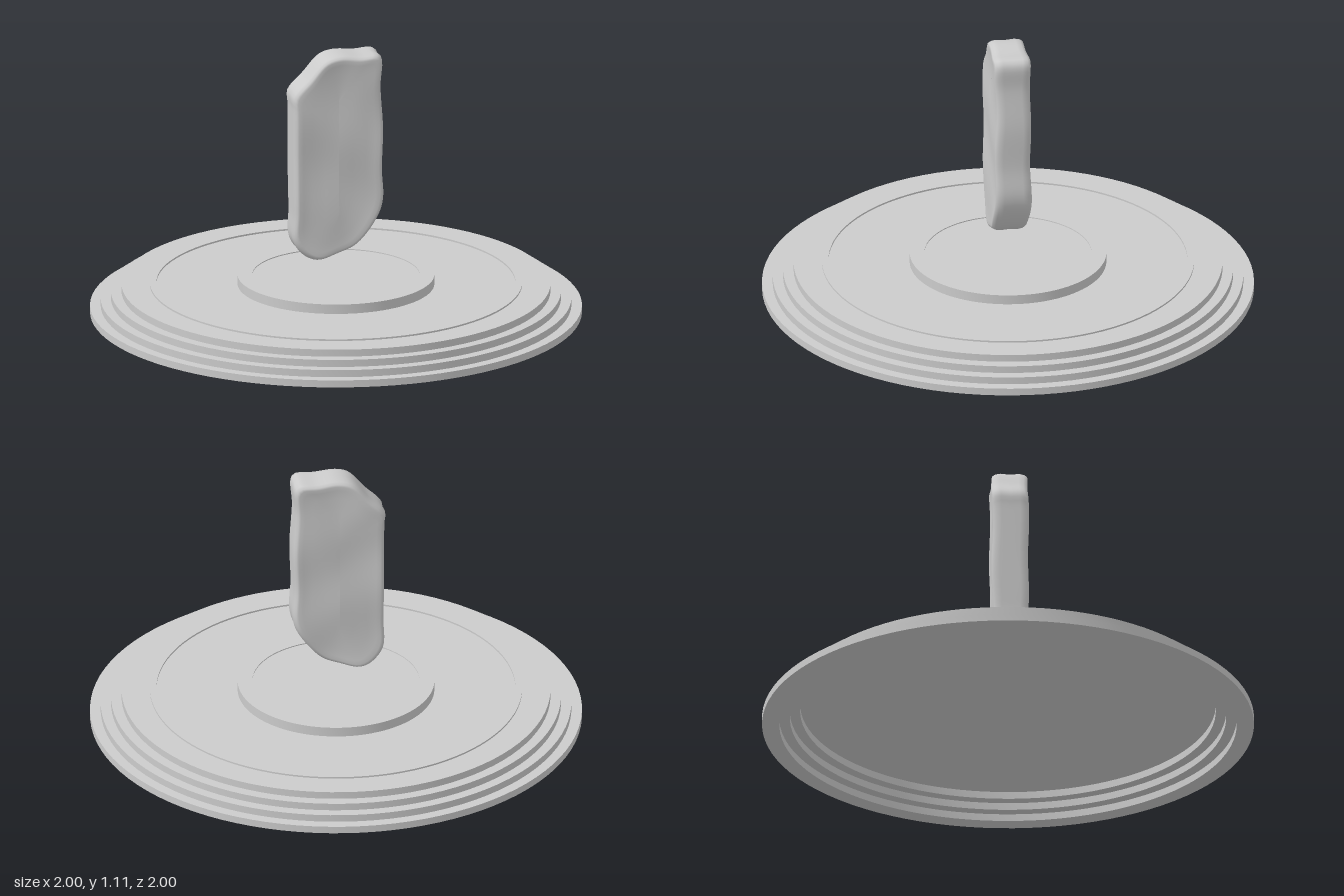
import * as THREE from 'three';
import { toCreasedNormals } from 'three/addons/utils/BufferGeometryUtils.js';

const material = new THREE.MeshStandardMaterial({ color: 0xcccccc });

// Turned ring (or disc when rIn is 0) with sharp edges
function ring(name, rIn, rOut, y0, y1) {
  const profile = [[rIn, y0], [rOut, y0], [rOut, y1], [rIn, y1]];
  if (rIn > 0) profile.push([rIn, y0]);
  const points = profile.map(([r, y]) => new THREE.Vector2(r, y));
  const mesh = new THREE.Mesh(toCreasedNormals(new THREE.LatheGeometry(points, 96), 0.6), material);
  mesh.name = name;
  return mesh;
}

// Worn slab: a rounded outline swept through insets from the front face to the back
function stoneGeometry() {
  const outline = new THREE.CatmullRomCurve3([
    [-0.195, 0.95], [-0.13, 1.02], [-0.06, 1.095], [0, 1.112], [0.09, 1.105], [0.165, 1.105],
    [0.18, 1.085], [0.175, 0.98], [0.186, 0.8], [0.18, 0.62], [0.186, 0.49], [0.165, 0.42],
    [0.07, 0.3], [-0.01, 0.265], [-0.09, 0.244], [-0.14, 0.262], [-0.188, 0.325],
    [-0.19, 0.45], [-0.192, 0.7], [-0.194, 0.9],
  ].map(([x, y]) => new THREE.Vector3(x, y, 0)), true, 'centripetal').getSpacedPoints(120);
  outline.pop();
  const n = outline.length;

  // [distance from the middle, depth]
  const front = [[0, 0.068], [0.3, 0.068], [0.6, 0.069], [0.8, 0.071], [0.89, 0.073], [0.94, 0.07], [0.98, 0.058], [1, 0.038]];
  const stations = [...front, [0.985, 0], ...front.map(([f, z]) => [f, -z]).reverse()];

  const position = [], index = [];
  stations.forEach(([f, z], i) => {
    for (let j = 0; j < n; j++) {
      const p = outline[j];
      const x = -0.005 + (p.x + 0.005) * f;
      const y = 0.68 + (p.y - 0.68) * (1 - (1 - f) * 0.44);
      // gentle hollows on the broad faces
      const wobble = 0.003 * Math.sin(y * 17 + x * 9 + Math.sign(z)) + 0.002 * Math.sin(x * 31 - y * 8);
      position.push(x, y, z + 0.003 + Math.sign(z) * wobble);
      if (i < stations.length - 1) {
        const a = i * n + j, b = i * n + (j + 1) % n;
        index.push(a, b, b + n, a, b + n, a + n);
      }
    }
  });
  const geometry = new THREE.BufferGeometry();
  geometry.setAttribute('position', new THREE.Float32BufferAttribute(position, 3));
  geometry.setIndex(index);
  geometry.computeVertexNormals();
  return geometry;
}

export function createModel() {
  const model = new THREE.Group();
  model.name = 'floatingStoneOnDais';

  // Stepped base, hollow underneath
  const base = new THREE.Group();
  base.name = 'steppedBase';
  [1, 0.957, 0.915].forEach((r, i) =>
    base.add(ring(`step${i + 1}`, r - 0.07, r, i * 0.03, (i + 1) * 0.03)));
  base.add(ring('platform', 0, 0.872, 0.09, 0.12));
  base.add(ring('platformLip', 0.73, 0.757, 0.12, 0.127));
  base.add(ring('pedestalRim', 0.34, 0.4, 0.12, 0.16));
  base.add(ring('pedestalTop', 0, 0.34, 0.12, 0.156));
  model.add(base);

  // Slab hovering over the pedestal
  const stone = new THREE.Mesh(stoneGeometry(), material);
  stone.name = 'floatingStone';
  model.add(stone);
  return model;
}
